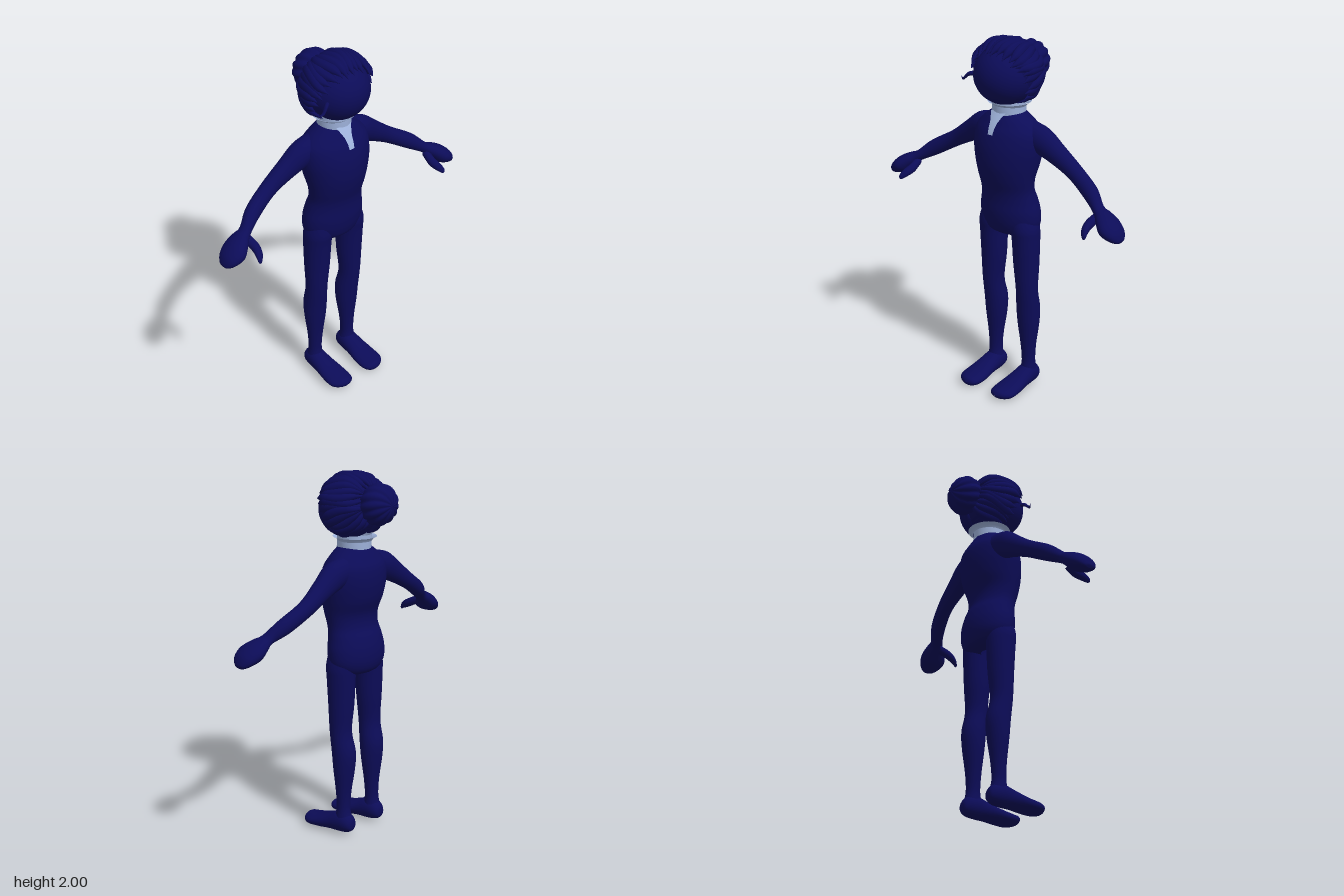
import * as THREE from 'three';

const V = (x, y, z) => new THREE.Vector3(x, y, z);
const navy = new THREE.MeshStandardMaterial({ color: 0x0c0c58 });
navy.name = 'navy';
const paleBlue = new THREE.MeshStandardMaterial({ color: 0x9fb3dc, side: THREE.DoubleSide });
paleBlue.name = 'paleBlue';

// Smooth closed skin over elliptical sections {c, u, v} (centre and two half-axis vectors)
function skin(sections, n) {
  const pos = [], idx = [], s = sections, m = s.length, k = m >> 1;
  const travel = s[k + 1].c.clone().sub(s[k - 1].c);
  const flip = s[k].u.clone().cross(s[k].v).dot(travel) < 0 ? -1 : 1;
  for (const { c, u, v } of s) {
    for (let j = 0; j < n; j++) {
      const a = (j / n) * Math.PI * 2;
      const p = c.clone().addScaledVector(u, Math.cos(a)).addScaledVector(v, flip * Math.sin(a));
      pos.push(p.x, p.y, p.z);
    }
  }
  for (let i = 0; i < m - 1; i++) {
    for (let j = 0; j < n; j++) {
      const a = i * n + j, b = i * n + (j + 1) % n;
      idx.push(a, b, b + n, a, b + n, a + n);
    }
  }
  const g = new THREE.BufferGeometry();
  g.setAttribute('position', new THREE.Float32BufferAttribute(pos, 3));
  g.setIndex(idx);
  g.computeVertexNormals();
  return g;
}

// Rings [x, y, z, a, b] with fixed axes, smoothed by a spline; side = -1 mirrors in x
function loft(rings, u, v, side = 1, n = 28) {
  const centres = new THREE.CatmullRomCurve3(rings.map(r => V(r[0] * side, r[1], r[2])), false, 'catmullrom');
  const sizes = new THREE.CatmullRomCurve3(rings.map(r => V(r[3], r[4], 0)), false, 'catmullrom');
  const U = V(u.x * side, u.y, u.z), steps = (rings.length - 1) * 5, sections = [];
  for (let i = 0; i <= steps; i++) {
    const t = i / steps, q = sizes.getPoint(t);
    sections.push({
      c: centres.getPoint(t),
      u: U.clone().multiplyScalar(Math.max(q.x, 0.001)),
      v: v.clone().multiplyScalar(Math.max(q.y, 0.001)),
    });
  }
  return skin(sections, n);
}

export function createModel() {
  const model = new THREE.Group();
  const X = V(1, 0, 0), Y = V(0, 1, 0), Z = V(0, 0, 1);
  const add = (name, geometry, material = navy, parent = model) => {
    const mesh = new THREE.Mesh(geometry, material);
    mesh.name = name;
    parent.add(mesh);
    return mesh;
  };

  // Torso from crotch to neck base
  add('torso', loft([
    [0, 0.905, -0.01, 0.04, 0.03], [0, 0.93, -0.01, 0.14, 0.095], [0, 0.98, -0.01, 0.18, 0.12],
    [0, 1.05, -0.005, 0.185, 0.127], [0, 1.12, 0.003, 0.172, 0.12], [0, 1.18, 0.018, 0.163, 0.112],
    [0, 1.25, 0.028, 0.172, 0.122], [0, 1.33, 0.02, 0.19, 0.145], [0, 1.42, 0.012, 0.205, 0.152],
    [0, 1.5, 0.005, 0.2, 0.14], [0, 1.55, 0.005, 0.165, 0.115], [0, 1.585, 0.007, 0.12, 0.095],
    [0, 1.605, 0.007, 0.09, 0.08],
  ], X, Z, 1, 40));

  // Limbs, mirrored
  for (const [side, label] of [[1, 'left'], [-1, 'right']]) {
    add(label + 'Arm', loft([
      [0.1, 1.49, -0.02, 0.085, 0.07], [0.2, 1.47, -0.02, 0.078, 0.065], [0.3, 1.417, -0.025, 0.06, 0.052],
      [0.42, 1.345, -0.026, 0.046, 0.043], [0.55, 1.27, 0.005, 0.044, 0.042], [0.63, 1.215, 0.045, 0.03, 0.038],
      [0.67, 1.19, 0.06, 0.038, 0.058], [0.72, 1.155, 0.075, 0.048, 0.077], [0.77, 1.125, 0.08, 0.036, 0.062],
      [0.797, 1.102, 0.08, 0.015, 0.03], [0.8, 1.098, 0.08, 0.001, 0.001],
    ], V(0.47, 0.88, 0), Z, side));
    add(label + 'Thumb', loft([
      [0.635, 1.185, 0.06, 0.025, 0.025], [0.625, 1.157, 0.12, 0.024, 0.026], [0.635, 1.137, 0.165, 0.021, 0.022],
      [0.648, 1.118, 0.19, 0.012, 0.014], [0.65, 1.114, 0.196, 0.001, 0.001],
    ], X, Y, side, 16));
    add(label + 'Leg', loft([
      [0.1, 1.06, 0, 0.06, 0.08], [0.11, 0.97, 0.005, 0.078, 0.085], [0.115, 0.9, 0.002, 0.076, 0.08],
      [0.117, 0.75, 0, 0.072, 0.07], [0.122, 0.6, 0, 0.062, 0.06], [0.118, 0.48, -0.018, 0.066, 0.066],
      [0.118, 0.38, -0.02, 0.062, 0.058], [0.12, 0.25, -0.018, 0.045, 0.042], [0.122, 0.15, -0.018, 0.038, 0.038],
      [0.122, 0.08, -0.02, 0.045, 0.05], [0.122, 0.05, -0.02, 0.03, 0.03],
    ], X, Z, side));
    add(label + 'Foot', loft([
      [0.122, 0.06, -0.087, 0.001, 0.001], [0.122, 0.062, -0.08, 0.03, 0.032], [0.122, 0.068, -0.05, 0.048, 0.054],
      [0.122, 0.068, 0, 0.055, 0.06], [0.122, 0.057, 0.06, 0.06, 0.05], [0.121, 0.042, 0.13, 0.07, 0.04],
      [0.12, 0.033, 0.2, 0.07, 0.033], [0.112, 0.034, 0.24, 0.045, 0.024], [0.11, 0.034, 0.256, 0.001, 0.001],
    ], X, Y, side));
  }

  // Neck, flared collar edge and front tab
  const neck = add('neck', new THREE.CylinderGeometry(0.093, 0.09, 0.075, 40, 1, true), paleBlue);
  neck.position.set(0, 1.633, 0.007);
  const collar = add('collar', new THREE.LatheGeometry(
    [[0.092, 1.635], [0.1, 1.648], [0.118, 1.657]].map(p => new THREE.Vector2(...p)), 40), paleBlue);
  collar.position.z = 0.003;
  const tabRows = [[1.612, 0.05, 0.094], [1.585, 0.035, 0.112], [1.56, 0.024, 0.127],
    [1.53, 0.019, 0.145], [1.5, 0.016, 0.155]];
  const tab = new THREE.PlaneGeometry(2, 1, 4, tabRows.length - 1);
  for (let i = 0, p = tab.attributes.position; i < p.count; i++) {
    const [y, w, z] = tabRows[Math.floor(i / 5)], x = p.getX(i) * w;
    p.setXYZ(i, x - 0.005, y, z - x * x * 3);
  }
  tab.computeVertexNormals();
  add('collarTab', tab, paleBlue);

  // Head
  const head = add('head', new THREE.SphereGeometry(1, 40, 28), navy);
  head.scale.set(0.17, 0.155, 0.16);
  head.position.set(0, 1.8, 0.04);

  // Hair: scalp and locks swept from the hairline back to the bun
  const hair = new THREE.Group();
  hair.name = 'hair';
  model.add(hair);
  const centre = V(0, 1.82, 0.015), radii = V(0.18, 0.155, 0.15);
  const scalp = add('scalp', new THREE.SphereGeometry(1, 40, 28), navy, hair);
  scalp.scale.copy(radii);
  scalp.position.copy(centre);
  const forward = V(0, -0.22, 1).normalize(), up = V(0, 1, 0.22).normalize();
  const locks = 30;
  for (let i = 0; i < locks; i++) {
    const theta = -1.1 + (i / (locks - 1)) * (Math.PI + 2.2);
    const across = X.clone().multiplyScalar(Math.cos(theta)).addScaledVector(up, Math.sin(theta));
    const lateral = X.clone().multiplyScalar(-Math.sin(theta)).addScaledVector(up, Math.cos(theta));
    const start = 1.02 - 0.22 * Math.sin(theta) + 0.08 * (i % 2), sections = [];
    for (let k = 0; k <= 18; k++) {
      const t = k / 18, phi = start + t * (2.8 - start);
      const dir = forward.clone().multiplyScalar(Math.cos(phi)).addScaledVector(across, Math.sin(phi));
      const lift = 1 + 0.13 * Math.pow(1 - t, 5) + (i % 3) * 0.02;
      const body = Math.min(1, 0.04 + t * 5) * Math.min(1, 0.1 + (1 - t) * 3);
      sections.push({
        c: dir.clone().multiply(radii).multiplyScalar(lift).add(centre)
          .addScaledVector(lateral, 0.012 * Math.sin(t * 6 + i)),
        u: lateral.clone().multiplyScalar(0.027 * body * (0.3 + 0.7 * Math.sin(phi))),
        v: dir.clone().multiplyScalar(0.022 * body),
      });
    }
    add('lock', skin(sections, 8), navy, hair);
  }

  // Grooved bun
  const bun = new THREE.SphereGeometry(1, 72, 24);
  bun.rotateX(Math.PI / 2);
  for (let i = 0, p = bun.attributes.position; i < p.count; i++) {
    const x = p.getX(i), y = p.getY(i), z = p.getZ(i);
    const r = 0.9 + 0.1 * Math.abs(Math.cos(Math.atan2(y, x) * 6 + z * 1.5)) * Math.hypot(x, y);
    p.setXYZ(i, x * r * 0.115, y * r * 0.112, z * r * 0.1);
  }
  bun.computeVertexNormals();
  add('bun', bun, navy, hair).position.set(0, 1.84, -0.16);

  // Loose curl by the right temple
  add('looseCurl', loft([
    [-0.13, 1.8, 0.11, 0.012, 0.016], [-0.165, 1.795, 0.135, 0.012, 0.014], [-0.19, 1.77, 0.145, 0.008, 0.01],
    [-0.205, 1.765, 0.142, 0.004, 0.005], [-0.217, 1.778, 0.138, 0.001, 0.001],
  ], Y, Z, 1, 8), navy, hair);

  return model;
}
